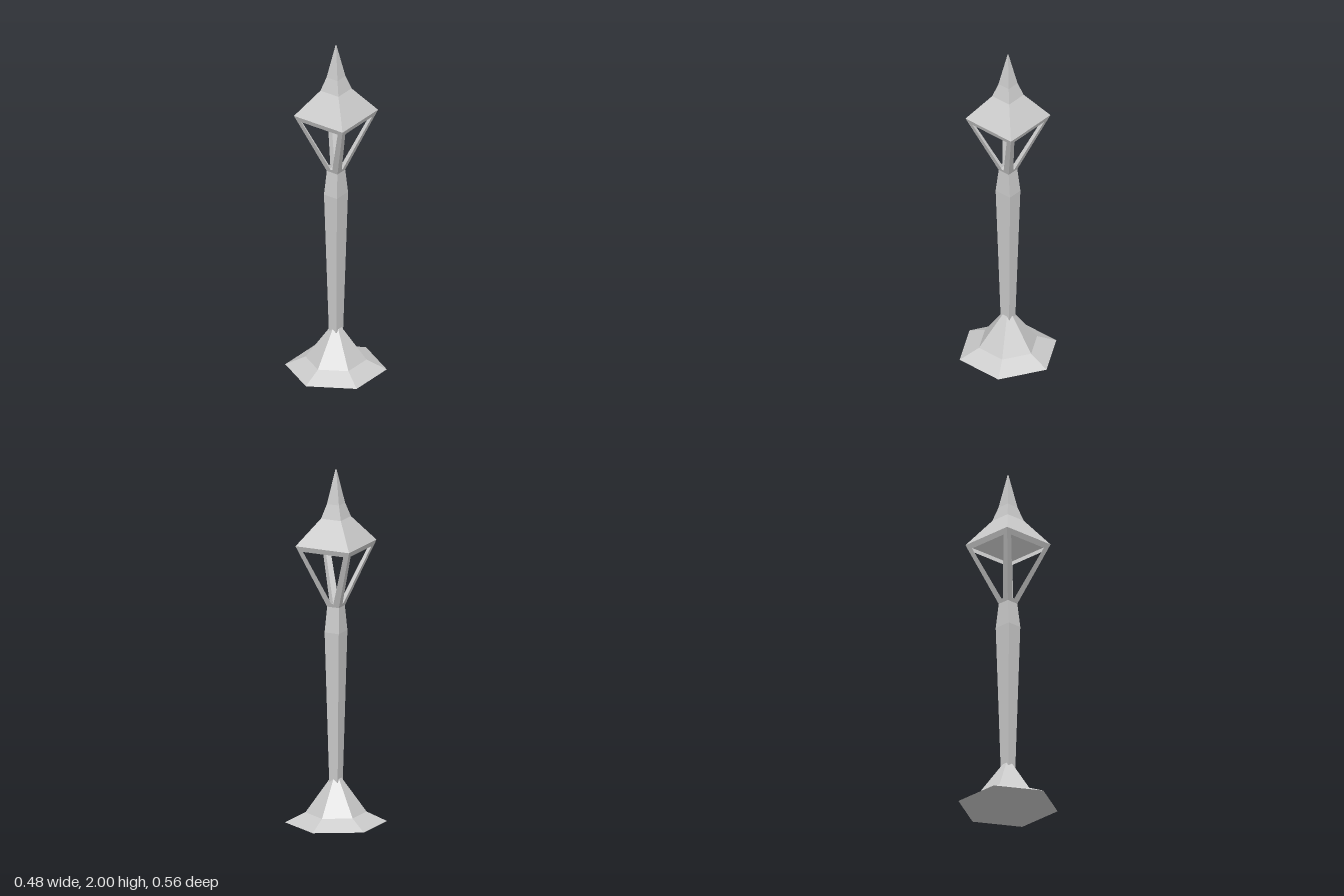
import * as THREE from 'three';

const material = new THREE.MeshStandardMaterial({
  color: 0xcccccc, flatShading: true, side: THREE.DoubleSide,
});

function addMesh(parent, name, geometry) {
  const mesh = new THREE.Mesh(geometry, material);
  mesh.name = name;
  parent.add(mesh);
  return mesh;
}

// Faceted solid from [radius, y] pairs, listed bottom to top
function faceted(profile, sides, phi = 0) {
  const points = profile.map(([r, y]) => new THREE.Vector2(r, y));
  return new THREE.LatheGeometry(points, sides, phi);
}

// Four-sided version, with half-widths instead of radii
function square(profile) {
  return faceted(profile.map(([h, y]) => [h * Math.SQRT2, y]), 4, Math.PI / 4);
}

export function createModel() {
  const lamp = new THREE.Group();
  lamp.name = 'streetLamp';

  // Hexagonal foot, closed above and below
  addMesh(lamp, 'base', faceted([[0, 0], [0.28, 0], [0.168, 0.055], [0.03, 0.25], [0, 0.25]], 6));

  // Tapered post, slightly deeper than wide, square at its top
  const postTop = 1.225;
  const post = square([[0, 0.23], [0.031, 0.23], [0.052, 1.08], [0.036, postTop], [0, postTop]]);
  const pos = post.attributes.position;
  for (let i = 0; i < pos.count; i++) {
    if (pos.getY(i) < 1.2) pos.setX(i, pos.getX(i) * 0.84);
  }
  addMesh(lamp, 'post', post);

  // Lantern: four thin leaning frames, each with a tapering window
  const lantern = new THREE.Group();
  lantern.name = 'lantern';
  lamp.add(lantern);
  const low = 1.22, high = 1.58, lowHalf = 0.035, highHalf = 0.165;
  const outline = new THREE.Shape([
    [-lowHalf, low], [lowHalf, low], [highHalf, high], [-highHalf, high],
  ].map(([x, y]) => new THREE.Vector2(x, y)));
  outline.holes.push(new THREE.Path([
    [-0.006, 1.243], [-0.124, 1.55], [0.124, 1.55], [0.006, 1.243],
  ].map(([x, y]) => new THREE.Vector2(x, y))));
  const frame = new THREE.ShapeGeometry(outline);
  const fp = frame.attributes.position;
  for (let i = 0; i < fp.count; i++) {
    const t = (fp.getY(i) - low) / (high - low);
    fp.setZ(i, lowHalf + t * (highHalf - lowHalf));
  }
  for (let i = 0; i < 4; i++) {
    addMesh(lantern, 'lanternFrame', frame).rotation.y = i * Math.PI / 2;
  }

  // Hollow roof sweeping up to a spire
  addMesh(lamp, 'roof', square([[highHalf, high], [0.061, 1.725], [0.037, 1.805], [0.002, 2], [0, 2]]));

  return lamp;
}
